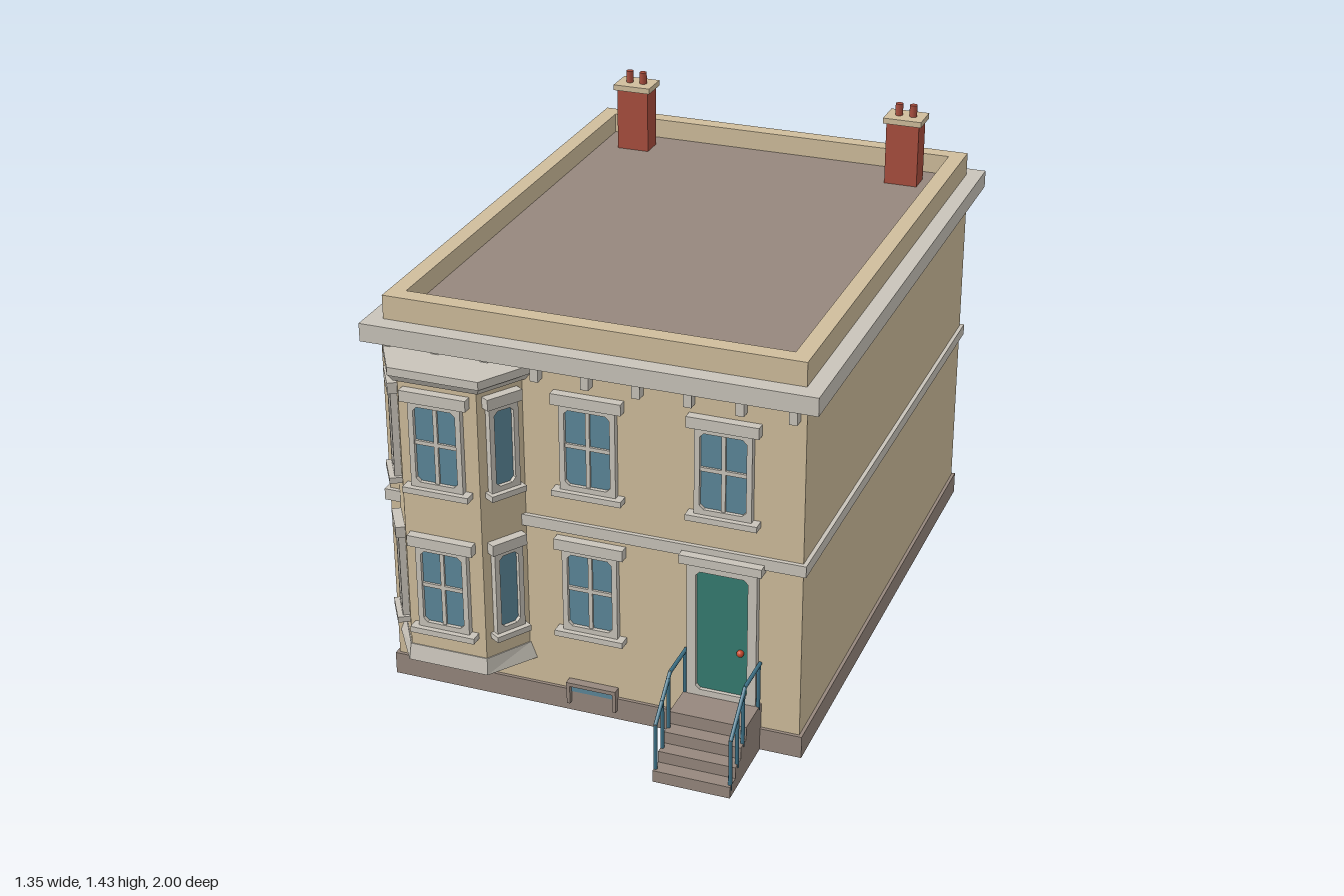
import * as THREE from 'three';

const mat = (name, color) => {
  const m = new THREE.MeshStandardMaterial({ color });
  m.name = name;
  return m;
};

export function createModel() {
  const wall = mat('sandstone wall', 0xcfbd9c);
  const trim = mat('pale stone trim', 0xc9c4ba);
  const slate = mat('brown grey stone', 0x96877d);
  const brick = mat('red brick', 0xa84e3e);
  const glass = mat('blue glass', 0x5c8799);
  const green = mat('green door paint', 0x357c70);
  const iron = mat('blue railing paint', 0x3f7389);
  const red = mat('door knob red', 0xc4482c);
  const house = new THREE.Group();
  house.name = 'townHouse';

  const add = (parent, name, geo, m) => {
    const mesh = new THREE.Mesh(geo, m);
    mesh.name = name;
    parent.add(mesh);
    return mesh;
  };
  // Box given by its minimum and maximum on each axis
  const box = (parent, name, m, x0, x1, y0, y1, z0, z1) => {
    const mesh = add(parent, name, new THREE.BoxGeometry(x1 - x0, y1 - y0, z1 - z0), m);
    mesh.position.set((x0 + x1) / 2, (y0 + y1) / 2, (z0 + z1) / 2);
    return mesh;
  };
  // Rectangle outline with cut corners
  const outline = (path, w, y0, y1, c) => {
    const h = w / 2;
    [[-h + c, y0], [h - c, y0], [h, y0 + c], [h, y1 - c], [h - c, y1], [-h + c, y1], [-h, y1 - c], [-h, y0 + c]]
      .forEach(([x, y], i) => (i ? path.lineTo(x, y) : path.moveTo(x, y)));
    path.closePath();
    return path;
  };
  const frame = (w, y0, y1, hw, hy0, hy1, depth) => {
    const s = outline(new THREE.Shape(), w, y0, y1, 0.0005);
    s.holes.push(outline(new THREE.Path(), hw, hy0, hy1, 0.012));
    return new THREE.ExtrudeGeometry(s, { depth, bevelEnabled: false });
  };

  // Main block, plinth and string course
  box(house, 'walls', wall, -0.63, 0.63, 0.03, 1.15, -0.945, 0.735);
  box(house, 'plinth', slate, -0.64, 0.64, 0, 0.07, -0.955, 0.745);
  box(house, 'stringCourse', trim, -0.642, 0.642, 0.595, 0.63, -0.958, 0.748);
  box(house, 'cornice', trim, -0.675, 0.675, 1.11, 1.165, -0.997, 0.78);
  for (let i = 0; i < 9; i++) {
    const x = -0.6 + i * 0.15;
    box(house, 'corniceBracket', trim, x - 0.012, x + 0.012, 1.065, 1.115, 0.73, 0.765);
  }

  // Parapet around the sunken flat roof
  box(house, 'roof', slate, -0.58, 0.58, 1.15, 1.175, -0.9, 0.68);
  for (const s of [-1, 1]) {
    box(house, 'parapetSide', wall, s * 0.6 - 0.025, s * 0.6 + 0.025, 1.16, 1.237, -0.945, 0.727);
  }
  box(house, 'parapetFront', wall, -0.575, 0.575, 1.16, 1.237, 0.675, 0.727);
  box(house, 'parapetBack', wall, -0.575, 0.575, 1.16, 1.237, -0.945, -0.895);

  // Chimneys with a cap and two pots
  for (const s of [-1, 1]) {
    const chimney = new THREE.Group();
    chimney.name = 'chimney';
    chimney.position.set(s * 0.457, 0, -0.792);
    box(chimney, 'chimneyStack', brick, -0.053, 0.053, 1.17, 1.377, -0.038, 0.038);
    box(chimney, 'chimneyCap', wall, -0.062, 0.062, 1.377, 1.395, -0.048, 0.048);
    for (const p of [-1, 1]) {
      add(chimney, 'chimneyPot', new THREE.CylinderGeometry(0.012, 0.012, 0.04, 10), brick)
        .position.set(p * 0.023, 1.413, 0);
    }
    house.add(chimney);
  }

  // Bay slice lofted between two three-sided plans: [half width at wall, half front width, front z, y]
  const bayPart = (name, m, low, high) => {
    const ring = ([w, f, zf, y]) => [[-w, y, 0.735], [-f, y, zf], [f, y, zf], [w, y, 0.735]];
    const b = ring(low), t = ring(high), pos = [];
    const quad = (p, q, r, s) => [p, q, r, p, r, s].forEach(v => pos.push(...v));
    for (let i = 0; i < 4; i++) {
      const j = (i + 1) % 4;
      quad(b[i], b[j], t[j], t[i]);
    }
    quad(...t);
    quad(b[3], b[2], b[1], b[0]);
    const g = new THREE.BufferGeometry();
    g.setAttribute('position', new THREE.Float32BufferAttribute(pos, 3));
    g.computeVertexNormals();
    add(house, name, g, m).position.x = -0.4;
  };
  bayPart('baySkirt', trim, [0.222, 0.125, 0.875, 0.15], [0.203, 0.122, 0.866, 0.2]);
  bayPart('bayWalls', wall, [0.2, 0.12, 0.863, 0.2], [0.2, 0.12, 0.863, 1.06]);
  bayPart('bayCornice', trim, [0.212, 0.128, 0.873, 1.055], [0.226, 0.138, 0.885, 1.075]);
  bayPart('bayRoof', trim, [0.229, 0.138, 0.887, 1.075], [0.229, 0.138, 0.887, 1.1]);

  // Sash window facing +z, y measured from the bottom of its sill
  const addWindow = (x, y, z, turn, w, bars) => {
    const g = new THREE.Group();
    g.name = 'window';
    const gw = w - 0.032;
    add(g, 'windowFrame', frame(w, 0.015, 0.285, gw, 0.034, 0.268, 0.02), trim);
    box(g, 'windowGlass', glass, -gw / 2, gw / 2, 0.03, 0.272, 0.001, 0.008);
    if (bars) {
      box(g, 'verticalBar', trim, -0.006, 0.006, 0.03, 0.272, 0.004, 0.015);
      box(g, 'horizontalBar', trim, -gw / 2, gw / 2, 0.15, 0.162, 0.004, 0.015);
    }
    const over = bars ? 0.021 : 0.01;
    box(g, 'windowSill', trim, -w / 2 - over, w / 2 + over, 0, 0.018, -0.005, 0.036);
    box(g, 'windowLintel', trim, -w / 2 - over, w / 2 + over, 0.282, 0.316, -0.005, 0.028);
    g.position.set(x, y, z);
    g.rotation.y = turn;
    house.add(g);
  };
  const slant = Math.atan2(0.128, 0.08);
  for (const y of [0.262, 0.721]) {
    addWindow(0, y, 0.735, 0, 0.168, true);
    addWindow(-0.403, y, 0.863, 0, 0.16, true);
    for (const s of [-1, 1]) addWindow(-0.4 + s * 0.16, y, 0.799, s * slant, 0.096, false);
  }
  addWindow(0.4, 0.721, 0.735, 0, 0.168, true);

  // Front door
  const door = new THREE.Group();
  door.name = 'frontDoor';
  door.position.set(0.4, 0, 0.735);
  add(door, 'doorFrame', frame(0.208, 0.148, 0.588, 0.154, 0.17, 0.556, 0.022), trim);
  box(door, 'doorPanel', green, -0.08, 0.08, 0.16, 0.565, 0, 0.01);
  box(door, 'doorLintel', trim, -0.122, 0.122, 0.583, 0.61, 0, 0.04);
  add(door, 'doorKnob', new THREE.SphereGeometry(0.011, 12, 8), red).position.set(0.055, 0.312, 0.016);
  house.add(door);

  // Basement window
  box(house, 'basementGlass', glass, -0.068, 0.068, 0.066, 0.094, 0.735, 0.748);
  box(house, 'basementLintel', slate, -0.077, 0.077, 0.09, 0.102, 0.735, 0.762);
  for (const s of [-1, 1]) {
    box(house, 'basementJamb', slate, s * 0.072 - 0.005, s * 0.072 + 0.005, 0.03, 0.095, 0.735, 0.76);
  }

  // Entrance steps
  [0.15, 0.11, 0.073, 0.037].forEach((top, i) => {
    const z = 0.865 + i * 0.045;
    box(house, i ? 'step' : 'landing', slate, 0.285, 0.515, 0, top, i ? z - 0.045 : 0.73, z);
  });

  // Railings: a sloping and level handrail on upright posts
  const rod = (name, a, b) => add(house, name, new THREE.TubeGeometry(
    new THREE.LineCurve3(new THREE.Vector3(...a), new THREE.Vector3(...b)), 1, 0.006, 8), iron);
  for (const x of [0.289, 0.511]) {
    rod('slopingHandrail', [x, 0.18, 0.986], [x, 0.286, 0.87]);
    rod('levelHandrail', [x, 0.286, 0.873], [x, 0.286, 0.74]);
    [[0.986, 0.02, 0.184], [0.932, 0.06, 0.232], [0.884, 0.1, 0.276], [0.752, 0.14, 0.286]]
      .forEach(([z, y0, y1]) => rod('railingPost', [x, y0, z], [x, y1, z]));
  }
  return house;
}
